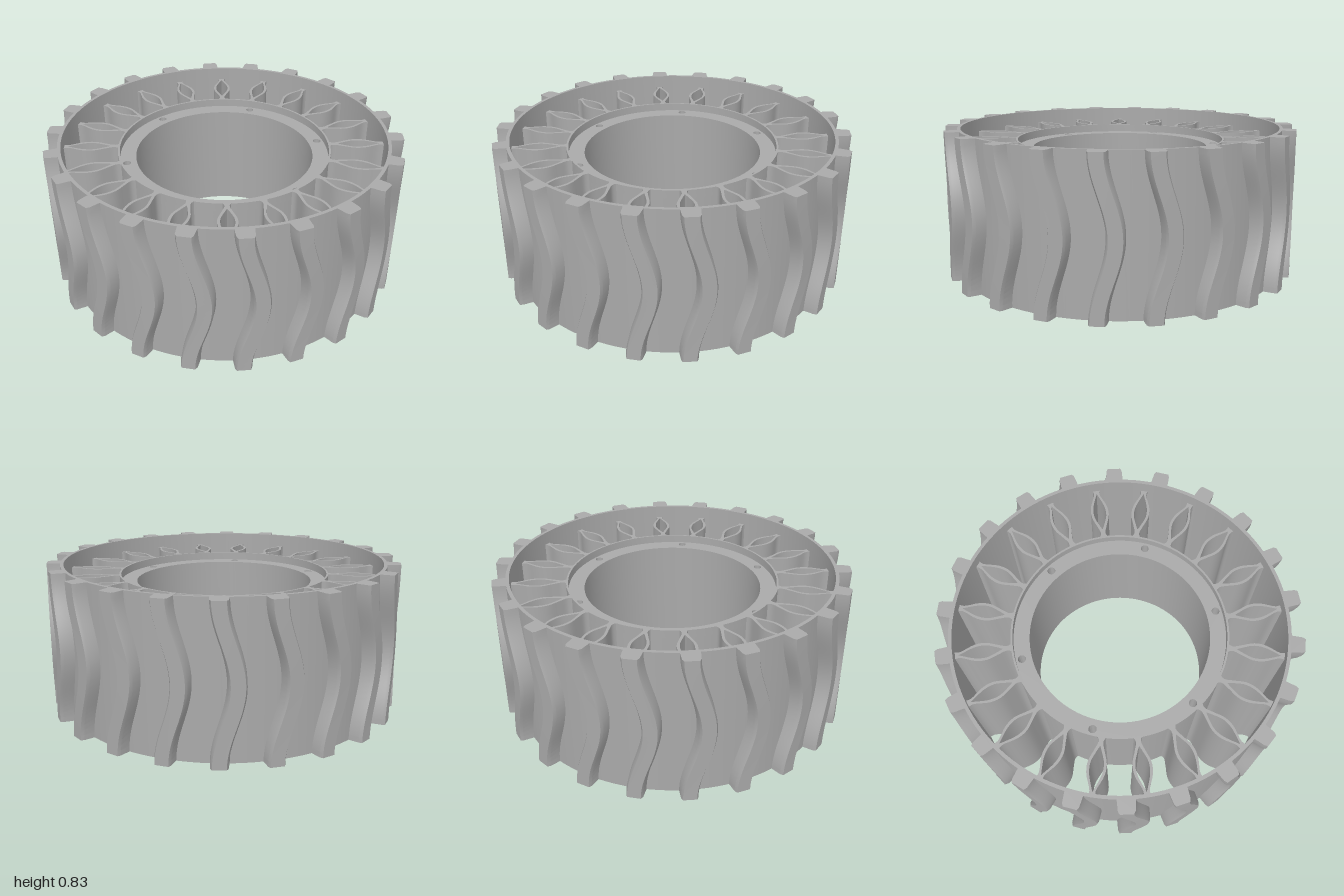
import * as THREE from 'three';
import { toCreasedNormals } from 'three/addons/utils/BufferGeometryUtils.js';

const HEIGHT = 0.835;
const LOW = 0.075, HIGH = 0.76; // spokes and hub sit inside the tread band
const SPOKES = 20, LUGS = 22, BOLTS = 6;

const rubber = new THREE.MeshStandardMaterial({ color: 0xa9a9a9 });
rubber.name = 'grey';

function addMesh(parent, geometry, name) {
  const mesh = new THREE.Mesh(geometry, rubber);
  mesh.name = name;
  parent.add(mesh);
  return mesh;
}

function circlePath(x, y, r) {
  return new THREE.Path().absarc(x, y, r, 0, Math.PI * 2, true);
}

// Extrude a flat plan upwards from y0 to y1
function extrudeUp(shape, y0, y1, curveSegments = 48) {
  const g = new THREE.ExtrudeGeometry(shape, { depth: y1 - y0, bevelEnabled: false, curveSegments });
  g.rotateX(-Math.PI / 2);
  g.translate(0, y0, 0);
  return toCreasedNormals(g, 0.5);
}

function ringShape(outer, inner) {
  const s = new THREE.Shape().absarc(0, 0, outer, 0, Math.PI * 2, false);
  s.holes.push(circlePath(0, 0, inner));
  return s;
}

// Flange plan with bolt holes
function boltedRing(outer, inner) {
  const s = ringShape(outer, inner);
  for (let i = 0; i < BOLTS; i++) {
    const a = Math.PI / 2 + (i * Math.PI * 2) / BOLTS;
    s.holes.push(circlePath(0.555 * Math.cos(a), 0.555 * Math.sin(a), 0.022));
  }
  return s;
}

// Closed outline mirrored about the spoke's centre line
function mirroredPoints(half) {
  const right = new THREE.SplineCurve(half.map(([x, y]) => new THREE.Vector2(x, y))).getPoints(20);
  const left = right.slice().reverse().filter((p) => p.x > 1e-4).map((p) => new THREE.Vector2(-p.x, p.y));
  return [...right, ...left];
}

// Lens-shaped flexing spoke: two bowed ribs joined at both ends
function spokeGeometry() {
  const shape = new THREE.Shape(mirroredPoints([
    [0.026, 0.592], [0.013, 0.622], [0.028, 0.67], [0.05, 0.735], [0.046, 0.8], [0.017, 0.875], [0.022, 0.912],
  ]));
  shape.holes.push(new THREE.Path(mirroredPoints([
    [0, 0.645], [0.014, 0.675], [0.035, 0.735], [0.031, 0.8], [0, 0.885],
  ])));
  return extrudeUp(shape, LOW, HIGH);
}

// Tread lug: a chamfered section swept up the band along a wave
function lugGeometry() {
  const section = [
    [-0.054, 0.912], [-0.045, 0.982], [-0.036, 0.998], [0.036, 0.998], [0.045, 0.982], [0.054, 0.912],
  ];
  const n = section.length, steps = 28;
  const pos = [], idx = [];
  for (let j = 0; j <= steps; j++) {
    const t = j / steps;
    const shift = 0.01 - 0.045 * Math.cos(2 * Math.PI * t);
    for (const [u, r] of section) {
      const a = u + shift;
      pos.push(r * Math.sin(a), t * HEIGHT, r * Math.cos(a));
    }
  }
  for (let j = 0; j < steps; j++) {
    for (let k = 0; k < n - 1; k++) {
      const a = j * n + k, b = a + 1, c = b + n, d = a + n;
      idx.push(a, b, c, a, c, d);
    }
  }
  // End caps
  const top = steps * n;
  for (let k = 1; k < n - 1; k++) {
    idx.push(top, top + k, top + k + 1);
    idx.push(0, k + 1, k);
  }
  const g = new THREE.BufferGeometry();
  g.setAttribute('position', new THREE.Float32BufferAttribute(pos, 3));
  g.setIndex(idx);
  return toCreasedNormals(g, 0.4);
}

// Repeat one geometry evenly around the axle
function addRadial(parent, geometry, count, offset, name) {
  const group = new THREE.Group();
  group.name = name + 's';
  for (let i = 0; i < count; i++) {
    addMesh(group, geometry, name).rotation.y = offset + (i * Math.PI * 2) / count;
  }
  parent.add(group);
}

export function createModel() {
  const wheel = new THREE.Group();
  wheel.name = 'wheel';

  // Thin outer band
  addMesh(wheel, extrudeUp(ringShape(0.924, 0.905), 0, HEIGHT, 64), 'treadBand');

  // Hub: counterbored base, main sleeve and a raised lip on top
  const hub = new THREE.Group();
  hub.name = 'hub';
  addMesh(hub, extrudeUp(boltedRing(0.6, 0.515), LOW, 0.12), 'hubBase');
  addMesh(hub, extrudeUp(boltedRing(0.6, 0.5), 0.12, 0.715), 'hubSleeve');
  addMesh(hub, extrudeUp(ringShape(0.6, 0.589), 0.715, HIGH), 'hubLip');
  wheel.add(hub);

  addRadial(wheel, spokeGeometry(), SPOKES, 0, 'spoke');
  addRadial(wheel, lugGeometry(), LUGS, Math.PI / 2, 'treadLug');

  return wheel;
}
